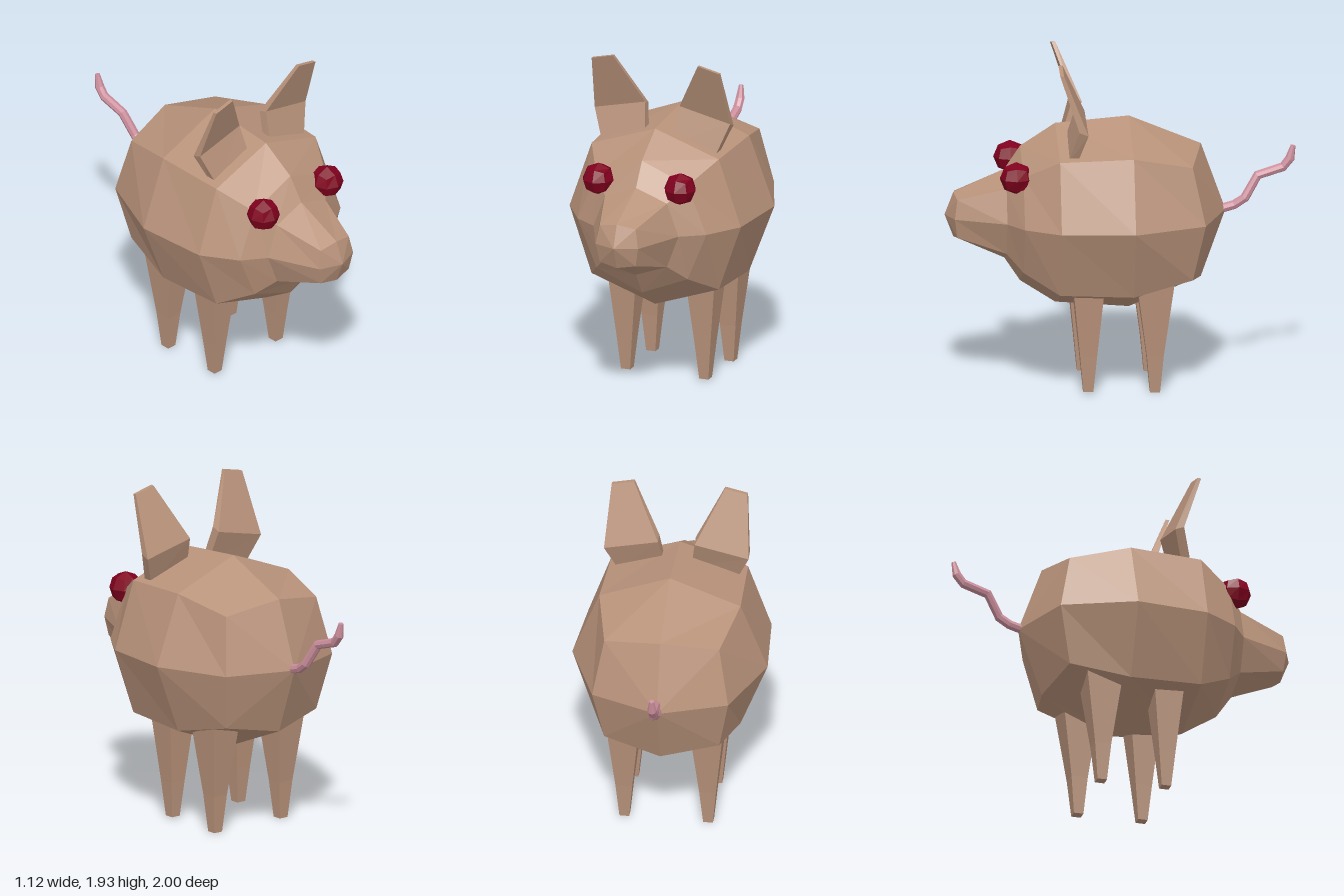
import * as THREE from 'three';

const skin = new THREE.MeshStandardMaterial({ color: 0xb8927a, flatShading: true });
const eyeRed = new THREE.MeshStandardMaterial({ color: 0x80001e, flatShading: true });
const tailPink = new THREE.MeshStandardMaterial({ color: 0xcc8f9c, flatShading: true });

const V = (x, y, z) => new THREE.Vector3(x, y, z);

// Skins a list of rings; each ring turns counter-clockwise about the direction of travel.
// The ends are closed by fans to the given poles, or to the ring centres.
function loft(rings, startPole, endPole) {
  const pos = [];
  const tri = (...pts) => pts.forEach((p) => pos.push(p.x, p.y, p.z));
  const centre = (r) => r.reduce((s, p) => s.add(p), V(0, 0, 0)).divideScalar(r.length);
  const n = rings[0].length;
  const first = rings[0], last = rings[rings.length - 1];
  const c0 = startPole ?? centre(first), c1 = endPole ?? centre(last);
  for (let j = 0; j < n; j++) {
    const k = (j + 1) % n;
    for (let i = 0; i < rings.length - 1; i++) {
      const a = rings[i], b = rings[i + 1];
      tri(a[j], a[k], b[k]);
      tri(a[j], b[k], b[j]);
    }
    tri(c0, first[k], first[j]);
    tri(c1, last[j], last[k]);
  }
  const g = new THREE.BufferGeometry();
  g.setAttribute('position', new THREE.Float32BufferAttribute(pos, 3));
  g.computeVertexNormals();
  return g;
}

export function createModel() {
  const model = new THREE.Group();
  const add = (name, geometry, material = skin) => {
    const mesh = new THREE.Mesh(geometry, material);
    mesh.name = name;
    model.add(mesh);
    return mesh;
  };

  // Body and snout: eight-sided rings, [z, radius, corner z, corner offset]
  const bodyRings = [
    [-0.46, 0.39, -0.39, 0.33],
    [-0.05, 0.56, -0.05, 0.405],
    [0.37, 0.525, 0.37, 0.39],
    [0.57, 0.395, 0.57, 0.28],
    [0.66, 0.26, 0.66, 0.19],
    [0.95, 0.13, 0.935, 0.11],
  ].map(([z, r, cz, c]) => Array.from({ length: 8 }, (_, i) => {
    const a = (i * Math.PI) / 4;
    const rad = i % 2 ? c * Math.SQRT2 : r;
    return V(Math.cos(a) * rad, 1 + Math.sin(a) * rad, i % 2 ? cz : z);
  }));
  add('body', loft(bodyRings, V(0, 1, -0.6), V(0, 1, 1)));

  // Square tapering legs
  const legRing = (x, z, y, hx, hz) => [
    V(x - hx, y, z + hz), V(x + hx, y, z + hz), V(x + hx, y, z - hz), V(x - hx, y, z - hz),
  ];
  for (const [end, z, y0, top] of [['front', 0.2, 0.01, 0.09], ['back', -0.18, 0, 0.105]]) {
    for (const s of [1, -1]) {
      const x = 0.24 * s;
      add(`${end}${s > 0 ? 'Left' : 'Right'}Leg`, loft([
        legRing(x, z, y0, 0.028, 0.028),
        legRing(x, z, 0.22, 0.048, 0.048),
        legRing(x, z, 0.64, 0.092, top),
      ]));
    }
  }

  for (const s of [1, -1]) {
    const side = s > 0 ? 'left' : 'right';

    // Bent ears: [inner x, inner y, outer x, outer y, front z, back z, back drop]
    const earRings = [
      [0.08, 1.44, 0.34, 1.37, 0.325, 0.27, 0],
      [0.105, 1.64, 0.415, 1.57, 0.262, 0.21, 0.02],
      [0.26, 1.93, 0.39, 1.9, 0.37, 0.348, 0],
    ].map(([ix, iy, ox, oy, zf, zb, d]) => {
      const ring = [
        V(s * ix, iy, zf), V(s * ox, oy, zf), V(s * ox, oy - d, zb), V(s * ix, iy - d, zb),
      ];
      return s > 0 ? ring : ring.reverse();
    });
    add(`${side}Ear`, loft(earRings));

    // Faceted eyes: a cube of 2 x 2 faces blown up into a ball
    const ball = new THREE.BoxGeometry(1, 1, 1, 2, 2, 2);
    const p = ball.attributes.position;
    for (let i = 0; i < p.count; i++) {
      const v = V(0, 0, 0).fromBufferAttribute(p, i).setLength(0.094);
      p.setXYZ(i, v.x, v.y, v.z);
    }
    ball.computeVertexNormals();
    add(`${side}Eye`, ball, eyeRed).position.set(0.25 * s, 1.27, 0.61);
  }

  // Kinked tail
  const path = [
    V(0, 1, -0.56), V(0, 1.025, -0.65), V(0.005, 1.065, -0.71), V(-0.02, 1.19, -0.785),
    V(-0.025, 1.235, -0.93), V(-0.025, 1.285, -0.97), V(-0.025, 1.36, -0.988),
  ];
  const across = V(1, 0, 0);
  const tailRings = path.map((p, i) => {
    const t = path[Math.min(i + 1, path.length - 1)].clone().sub(path[Math.max(i - 1, 0)]).normalize();
    const up = t.clone().cross(across).normalize();
    const r = i === path.length - 1 ? 0.014 : 0.027;
    return Array.from({ length: 8 }, (_, j) => {
      const a = (j * Math.PI) / 4;
      return p.clone().addScaledVector(across, Math.cos(a) * r).addScaledVector(up, Math.sin(a) * r);
    });
  });
  add('tail', loft(tailRings), tailPink);

  return model;
}
